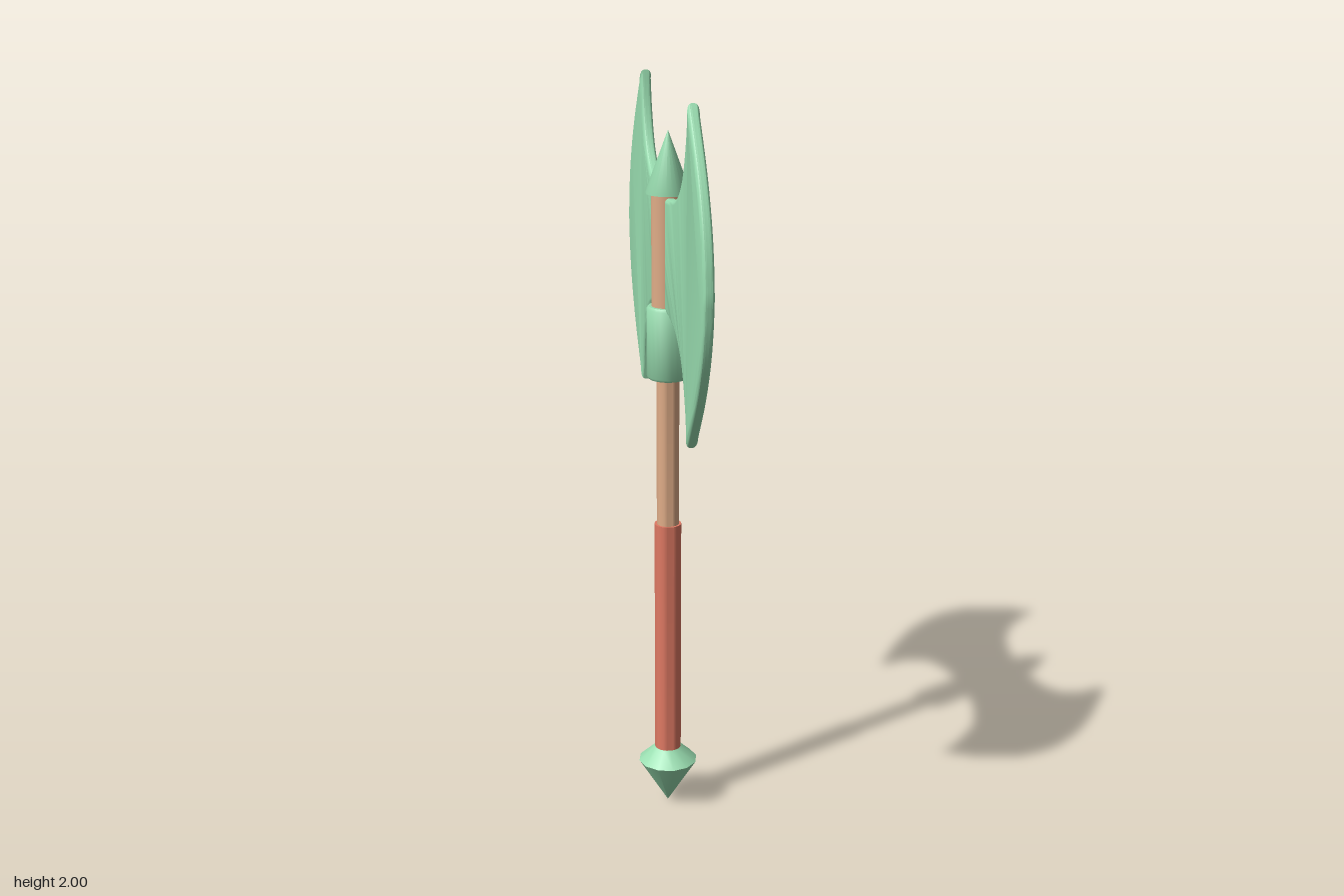
import * as THREE from 'three';
import { toCreasedNormals } from 'three/addons/utils/BufferGeometryUtils.js';

const metal = new THREE.MeshStandardMaterial({ color: 0x99ddb0 });
const wood = new THREE.MeshStandardMaterial({ color: 0xe0ad88 });
const leather = new THREE.MeshStandardMaterial({ color: 0xe07a64 });

// Turned part from [radius, y] pairs listed bottom to top
function turned(name, profile, sides, material) {
  const points = profile.map(([r, y]) => new THREE.Vector2(r, y));
  const geometry = toCreasedNormals(new THREE.LatheGeometry(points, sides), 0.7);
  const mesh = new THREE.Mesh(geometry, material);
  mesh.name = name;
  return mesh;
}

// Closed rod between two heights
const rod = (name, r, y0, y1, material) =>
  turned(name, [[0, y0], [r, y0], [r, y1], [0, y1]], 24, material);

// Double-bitted blade, mirrored about its centre in both directions
function createBlade() {
  const midY = 1.575;
  const curve = (pts, n) =>
    new THREE.SplineCurve(pts.map(([x, y]) => new THREE.Vector2(x, y))).getPoints(n);

  // One quarter: from the middle of the cutting edge to the horn, then to the socket
  const edge = curve([[0.51, 0], [0.498, 0.09], [0.468, 0.185], [0.408, 0.295], [0.31, 0.425]], 14);
  const neck = curve([[0.31, 0.425], [0.287, 0.325], [0.245, 0.235], [0.18, 0.18], [0.1, 0.156], [0, 0.145]], 18);
  const quarter = [...edge, ...neck.slice(1)];
  const flip = (pts, sx, sy) => pts.map(p => new THREE.Vector2(p.x * sx, p.y * sy));
  const upper = [...quarter, ...flip(quarter, -1, 1).reverse().slice(1)];
  const outline = [...upper, ...flip(upper, 1, -1).reverse().slice(1, -1)];

  const depth = 0.008;
  const geometry = new THREE.ExtrudeGeometry(new THREE.Shape(outline), {
    depth, bevelEnabled: true, bevelThickness: 0.011, bevelSize: 0.014,
    bevelOffset: -0.014, bevelSegments: 4,
  });
  geometry.translate(0, 0, -depth / 2);
  geometry.rotateY(Math.PI / 2);
  const mesh = new THREE.Mesh(toCreasedNormals(geometry, 0.7), metal);
  mesh.name = 'doubleBlade';
  mesh.position.y = midY;
  return mesh;
}

export function createModel() {
  const axe = new THREE.Group();
  axe.name = 'battleAxe';

  // Handle, from the pommel up
  axe.add(turned('pommel', [[0, 0], [0.081, 0.13], [0.037, 0.17], [0, 0.17]], 12, metal));
  axe.add(rod('grip', 0.036, 0.165, 0.835, leather));
  axe.add(rod('shaft', 0.03, 0.8, 1.26, wood));
  axe.add(turned('collar',
    [[0, 1.243], [0.051, 1.243], [0.056, 1.25], [0.056, 1.43], [0.051, 1.437], [0, 1.437]], 24, metal));

  // Head: slightly oval socket, blade and top spike
  const socket = rod('headShaft', 0.043, 1.43, 1.735, wood);
  socket.scale.z = 0.9;
  axe.add(socket);
  axe.add(createBlade());
  axe.add(turned('topSpike', [[0, 1.73], [0.057, 1.73], [0.057, 1.736], [0, 1.89]], 24, metal));

  return axe;
}
